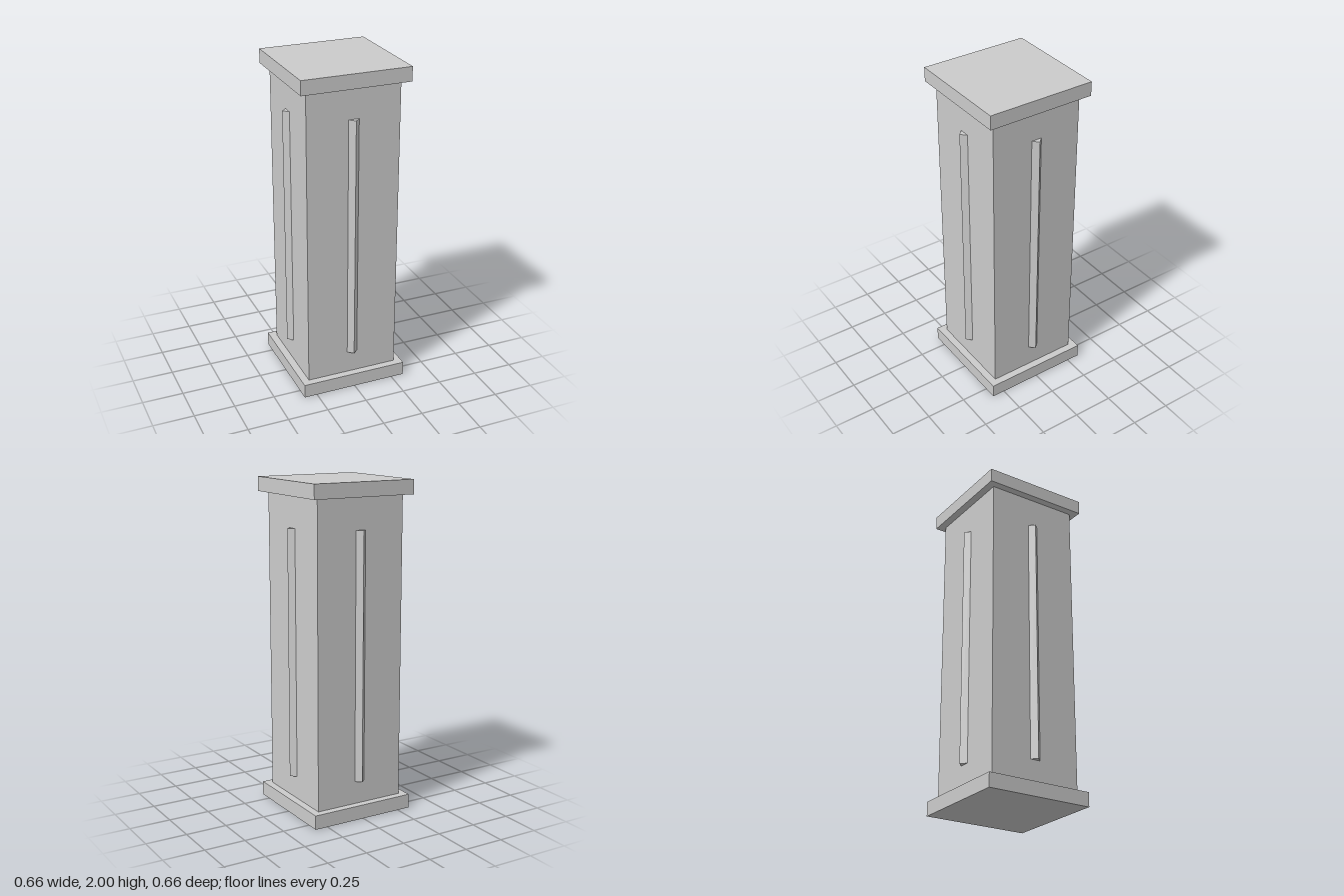
import * as THREE from 'three';

export function createModel() {
  const group = new THREE.Group();
  const material = new THREE.MeshStandardMaterial({ color: 0xcccccc, flatShading: true });

  const add = (name, geometry, x, y, z) => {
    const mesh = new THREE.Mesh(geometry, material);
    mesh.name = name;
    mesh.position.set(x, y, z);
    group.add(mesh);
  };

  const plateWidth = 0.66, plateHeight = 0.086;
  const shaftWidth = 0.57, shaftHeight = 2 - 2 * plateHeight;

  // Square base and cap plates with the shaft between them
  const plate = new THREE.BoxGeometry(plateWidth, plateHeight, plateWidth);
  add('basePlate', plate, 0, plateHeight / 2, 0);
  add('capPlate', plate, 0, 2 - plateHeight / 2, 0);
  add('shaft', new THREE.BoxGeometry(shaftWidth, shaftHeight, shaftWidth), 0, 1, 0);

  // Diamond-section ridge half sunk into the middle of each face
  const ridge = new THREE.CylinderGeometry(0.032, 0.032, 1.5, 4);
  const sides = [['front', 0, 1], ['left', 1, 0], ['back', 0, -1], ['right', -1, 0]];
  for (const [side, x, z] of sides) {
    add(side + 'Ridge', ridge, x * shaftWidth / 2, 0.975, z * shaftWidth / 2);
  }

  return group;
}
